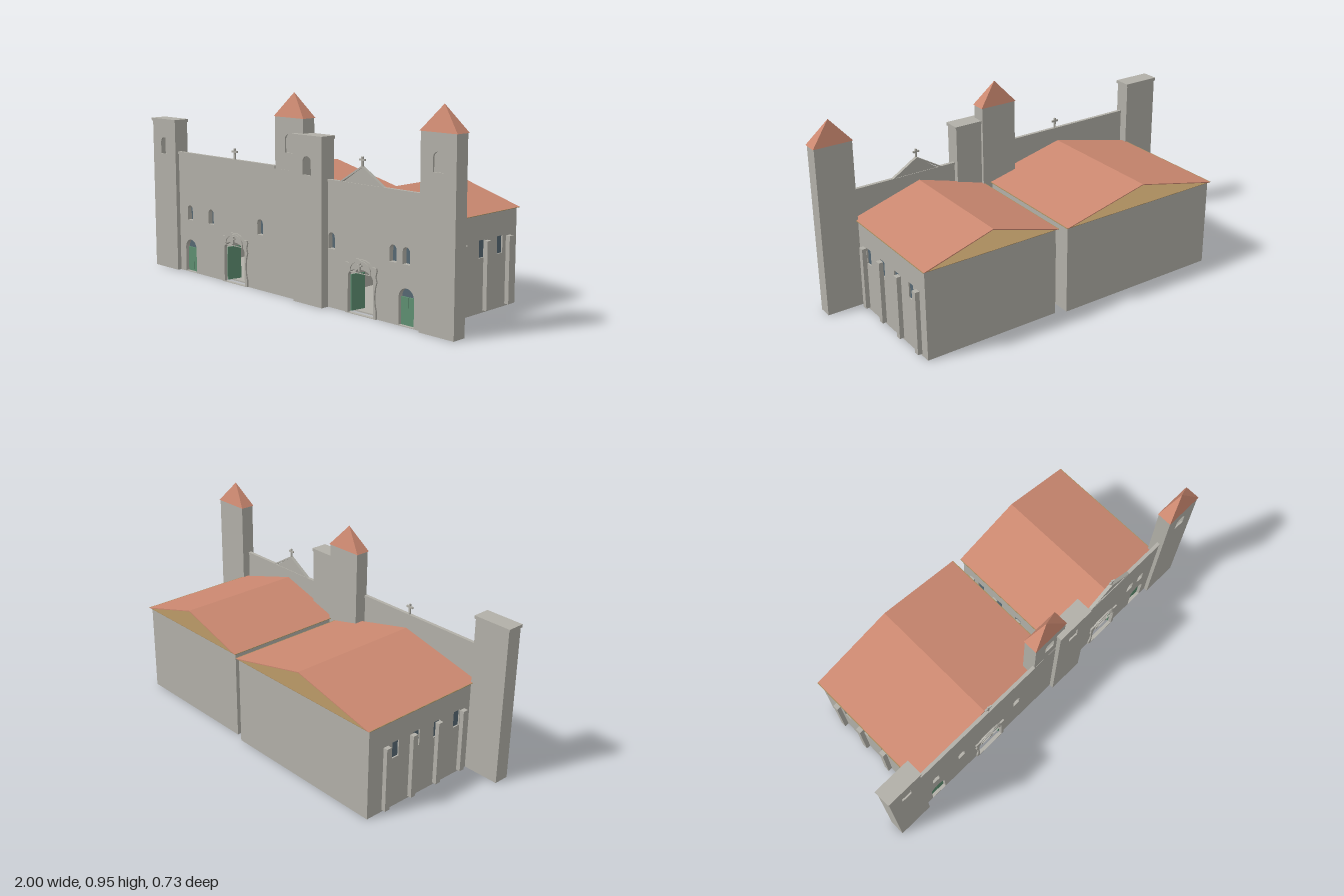
import * as THREE from 'three';

const mat = (name, color) => Object.assign(new THREE.MeshStandardMaterial({ color }), { name });
const stone = mat('stone', 0xb2b0a8);
const tile = mat('roofTile', 0xcb8870);
const wood = mat('wood', 0xa88a5c);
const green = mat('greenDoor', 0x5e8f72);
const slate = mat('slateGlass', 0x566873);

function add(parent, name, geometry, material) {
  const mesh = new THREE.Mesh(geometry, material);
  mesh.name = name;
  parent.add(mesh);
  return mesh;
}

// Box given by its minimum and maximum corners
function box(parent, name, material, x0, x1, y0, y1, z0, z1) {
  const g = new THREE.BoxGeometry(x1 - x0, y1 - y0, z1 - z0);
  g.translate((x0 + x1) / 2, (y0 + y1) / 2, (z0 + z1) / 2);
  return add(parent, name, g, material);
}

const poly = (pts) => new THREE.Shape(pts.map(([x, y]) => new THREE.Vector2(x, y)));
const rect = (x0, x1, y0, y1) => poly([[x0, y0], [x1, y0], [x1, y1], [x0, y1]]);

// Arched opening: straight sides with an elliptical head
function arch(cx, y0, w, h, rise = w / 2) {
  const s = new THREE.Shape();
  s.moveTo(cx - w / 2, y0);
  s.lineTo(cx + w / 2, y0);
  s.lineTo(cx + w / 2, y0 + h - rise);
  s.absellipse(cx, y0 + h - rise, w / 2, rise, 0, Math.PI, false);
  s.closePath();
  return s;
}

// Slab cut from a shape, spanning z0..z1
function slab(parent, name, material, shape, holes, z0, z1) {
  shape.holes.push(...holes);
  const g = new THREE.ExtrudeGeometry(shape, { depth: z1 - z0, bevelEnabled: false, curveSegments: 10 });
  g.translate(0, 0, z0);
  return add(parent, name, g, material);
}

function cross(parent, x, y, z, h) {
  const t = 0.004;
  box(parent, 'crossPost', stone, x - t, x + t, y, y + h, z - t, z + t);
  box(parent, 'crossArm', stone, x - h * 0.36, x + h * 0.36, y + h * 0.62, y + h * 0.8, z - t, z + t);
}

// Hollow bell tower with an arched opening in front
function tower(parent, name, { x0, x1, z0, z1, h, winY, spire }) {
  const g = new THREE.Group();
  g.name = name;
  parent.add(g);
  const t = 0.008, cx = (x0 + x1) / 2;
  slab(g, 'towerFront', stone, rect(x0, x1, 0, h), [arch(cx, winY, 0.055, 0.085)], z1 - t, z1);
  box(g, 'towerBack', stone, x0, x1, 0, h, z0, z0 + t);
  box(g, 'towerSide', stone, x0, x0 + t, 0, h, z0 + t, z1 - t);
  box(g, 'towerSide', stone, x1 - t, x1, 0, h, z0 + t, z1 - t);
  if (spire) {
    const cone = new THREE.ConeGeometry(Math.SQRT1_2, 0.113, 4).rotateY(Math.PI / 4).toNonIndexed();
    cone.scale(x1 - x0 + 0.01, 1, z1 - z0 + 0.006);
    cone.computeVertexNormals();
    cone.translate(cx, h + 0.0565, (z0 + z1) / 2);
    add(g, 'spire', cone, tile);
  } else {
    box(g, 'towerCap', stone, x0 - 0.005, x1 + 0.005, h, h + 0.015, z0 - 0.004, z1 + 0.005);
  }
}

// Hollow hall with side windows, pilasters, gable roof and altar
function hall(parent, { x0, x1, z0, z1, shift, portalX }) {
  const g = new THREE.Group();
  g.name = 'hall';
  parent.add(g);
  const h = 0.445, t = 0.02, cx = (x0 + x1) / 2;
  box(g, 'floor', stone, x0, x1, 0, 0.004, z0, z1);
  box(g, 'backWall', stone, x0 + t, x1 - t, 0.004, h, z0, z0 + t);
  slab(g, 'innerFrontWall', stone, rect(x0 + t, x1 - t, 0.004, h),
    [arch(portalX, 0.006, 0.15, 0.2, 0.04)], z1 - 0.01, z1);

  const windowZ = [0, 1, 2, 3].map((i) => 0.181 - 0.13 * i + shift);
  const pilasterZ = [0, 1, 2, 3].map((i) => 0.218 - 0.162 * i + shift);
  for (const side of [-1, 1]) {
    const wx = side < 0 ? x0 : x1 - t;
    const holes = windowZ.map((z) => rect(-z - 0.02, -z + 0.02, 0.25, 0.33));
    const wall = slab(g, 'sideWall', stone, rect(-z1, -z0, 0.004, h), holes, 0, t);
    wall.geometry.rotateY(Math.PI / 2).translate(wx, 0, 0);
    for (const z of windowZ) {
      box(g, 'sideWindow', slate, wx + 0.007, wx + 0.013, 0.25, 0.33, z - 0.02, z + 0.02);
    }
    const px = side < 0 ? x0 - 0.022 : x1;
    for (const z of pilasterZ) box(g, 'pilaster', stone, px, px + 0.022, 0.01, 0.325, z - 0.014, z + 0.014);
  }

  // Open gable roof over a flat ceiling
  const o = 0.011, a = x0 - o, b = x1 + o, ridge = 0.55;
  box(g, 'ceiling', wood, a, b, h - 0.001, h + 0.001, z0 - o, z1 + o);
  slab(g, 'roof', tile, poly([[a, h], [a + 0.018, h], [cx, ridge - 0.004], [b - 0.018, h], [b, h], [cx, ridge]]),
    [], z0 - o - 0.001, z1 + o);

  box(g, 'altarTable', wood, portalX - 0.075, portalX + 0.075, 0.004, 0.07, z0 + t, z0 + 0.06);
  box(g, 'altarPiece', wood, portalX - 0.047, portalX + 0.047, 0.07, 0.18, z0 + t, z0 + 0.045);
}

// Curved stone surround, open door leaves and small cross
function portal(parent, x, z) {
  const g = new THREE.Group();
  g.name = 'portal';
  parent.add(g);
  const half = [[0.093, 0], [0.093, 0.035], [0.086, 0.06], [0.083, 0.1], [0.088, 0.14], [0.096, 0.165],
    [0.09, 0.19], [0.097, 0.215], [0.094, 0.228], [0.07, 0.228], [0.05, 0.243], [0.025, 0.252]];
  const outline = [...half, ...half.map(([u, v]) => [-u, v]).reverse()].map(([u, v]) => [x + u, v]);
  slab(g, 'portalSurround', stone, poly(outline), [arch(x, 0.003, 0.152, 0.205, 0.04)], z - 0.004, z + 0.008);
  slab(g, 'portalArchMoulding', stone, arch(x, 0.19, 0.13, 0.058, 0.045),
    [arch(x, 0.192, 0.116, 0.048, 0.04)], z + 0.008, z + 0.013);
  cross(g, x, 0.2, z + 0.013, 0.036);
  for (const s of [-1, 1]) {
    const leaf = add(g, 'openDoorLeaf', new THREE.BoxGeometry(0.005, 0.165, 0.075).translate(0, 0, -0.0375), green);
    leaf.position.set(x + s * 0.0755, 0.088, z - 0.012);
    leaf.rotation.y = s < 0 ? -0.17 : 0;
  }
}

// Reveal around an arched opening, with a pane behind
function niche(parent, name, cx, y0, w, h, z) {
  slab(parent, name + 'Reveal', stone, arch(cx, y0 - 0.003, w + 0.006, h + 0.006), [arch(cx, y0, w, h)], z - 0.018, z);
  slab(parent, name + 'Pane', slate, arch(cx, y0, w, h), [], z - 0.018, z - 0.014);
}

// Thin facade with windows, side door and portal
function facade(parent, { outline, z, windows, doorX, portalX }) {
  const g = new THREE.Group();
  g.name = 'facade';
  parent.add(g);
  const back = z - 0.01;
  const holes = windows.map((x) => arch(x, 0.27, 0.04, 0.075));
  holes.push(arch(doorX, 0.003, 0.086, 0.165), arch(portalX, 0.003, 0.152, 0.205, 0.04));
  slab(g, 'facadeWall', stone, poly(outline), holes, back, z);
  for (const x of windows) niche(g, 'window', x, 0.27, 0.04, 0.075, back);
  niche(g, 'sideDoor', doorX, 0.003, 0.086, 0.165, back);
  for (const s of [-1, 1]) {
    const c = doorX + s * 0.0215;
    box(g, 'sideDoorLeaf', green, c - 0.0208, c + 0.0208, 0.003, 0.125, back - 0.014, back - 0.006);
  }
  portal(g, portalX, z);
  return g;
}

export function createModel() {
  const model = new THREE.Group();
  model.name = 'twinChurches';

  // Larger church
  const large = new THREE.Group();
  large.name = 'largeChurch';
  hall(large, { x0: -0.81, x1: 0.061, z0: -0.352, z1: 0.302, shift: 0.018, portalX: -0.372 });
  const f1 = facade(large, {
    outline: [[-0.815, 0], [0.065, 0], [0.065, 0.6], [-0.815, 0.6]],
    z: 0.34, windows: [-0.725, -0.557, -0.188], doorX: -0.723, portalX: -0.372,
  });
  box(f1, 'cornice', stone, -0.81, -0.076, 0.6, 0.614, 0.327, 0.344);
  cross(f1, -0.372, 0.614, 0.335, 0.052);
  tower(large, 'flatTower', { x0: -0.995, x1: -0.81, z0: 0.284, z1: 0.361, h: 0.76, winY: 0.595 });
  tower(large, 'spireTower', { x0: -0.077, x1: 0.111, z0: 0.269, z1: 0.339, h: 0.842, winY: 0.68, spire: true });

  // Smaller church
  const small = new THREE.Group();
  small.name = 'smallChurch';
  hall(small, { x0: 0.113, x1: 0.804, z0: -0.331, z1: 0.284, shift: 0, portalX: 0.458 });
  const f2 = facade(small, {
    outline: [[0.12, 0], [0.81, 0], [0.81, 0.575], [0.58, 0.575], [0.458, 0.655], [0.336, 0.575], [0.12, 0.575]],
    z: 0.32, windows: [0.273, 0.641, 0.716], doorX: 0.718, portalX: 0.458,
  });
  box(f2, 'cornice', stone, 0.25, 0.81, 0.573, 0.583, 0.307, 0.324);
  for (const s of [-1, 1]) {
    slab(f2, 'pedimentRake', stone, poly([[0.458, 0.653], [0.458, 0.662], [0.458 + s * 0.13, 0.583], [0.458 + s * 0.117, 0.583]]),
      [], 0.307, 0.324);
  }
  cross(f2, 0.458, 0.656, 0.316, 0.046);
  tower(small, 'flatTower', { x0: 0.064, x1: 0.251, z0: 0.284, z1: 0.361, h: 0.76, winY: 0.595 });
  tower(small, 'spireTower', { x0: 0.804, x1: 0.991, z0: 0.269, z1: 0.339, h: 0.842, winY: 0.68, spire: true });

  model.add(large, small);
  return model;
}
